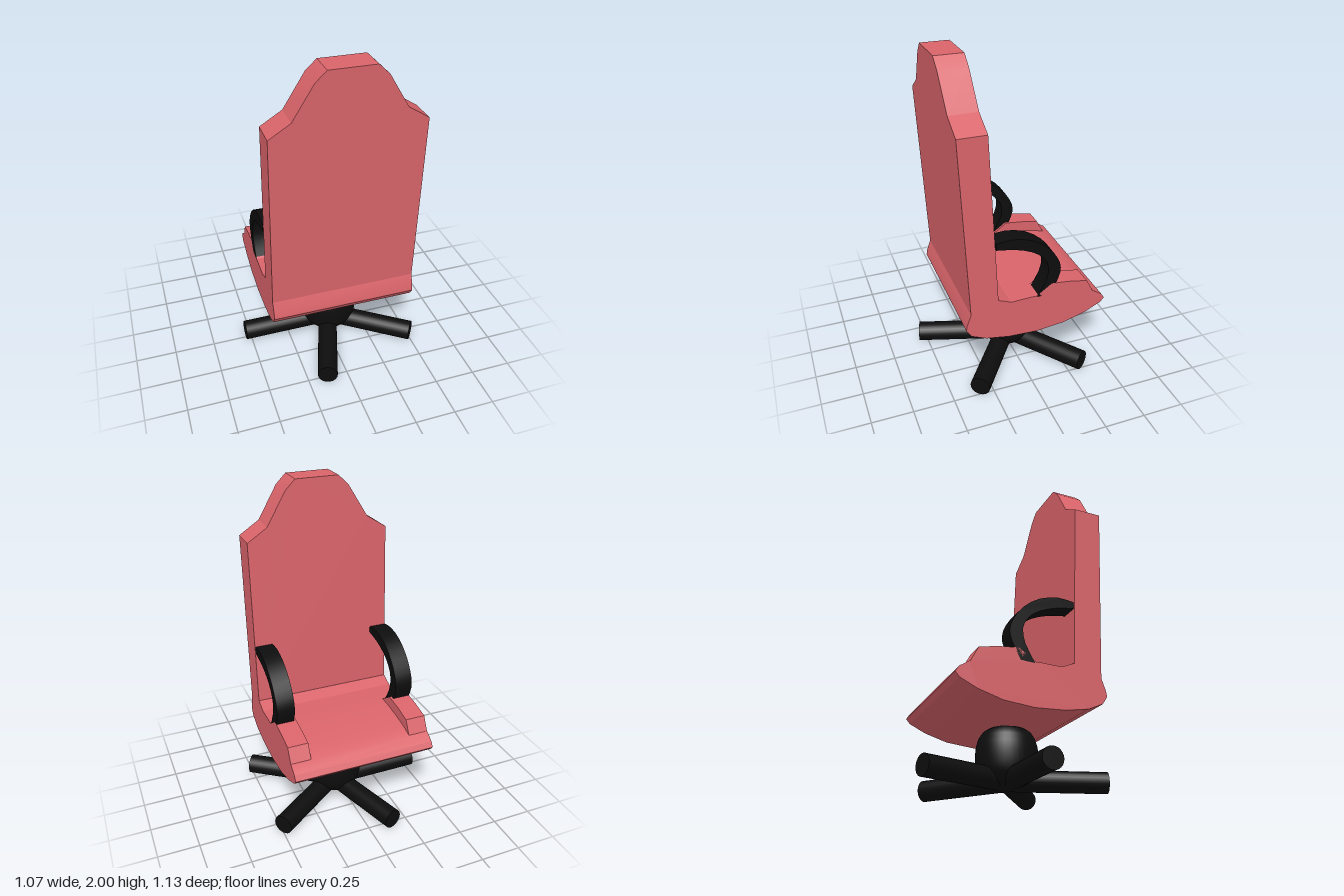
import * as THREE from 'three';
import { toCreasedNormals } from 'three/addons/utils/BufferGeometryUtils.js';

const MID = 0.0175;        // middle of the seat in x
const HALF = 0.4425;       // half width of the seat
const red = new THREE.MeshStandardMaterial({ color: 0xd9646a });
const black = new THREE.MeshStandardMaterial({ color: 0x0d0d0d });

const vecs = (pts) => pts.map(([a, b]) => new THREE.Vector2(a, b));

function add(group, name, geometry, material) {
  const mesh = new THREE.Mesh(geometry, material);
  mesh.name = name;
  group.add(mesh);
  return mesh;
}

// Extrudes a side profile of [z, y] points from x0 to x1
function sideExtrude(profile, x0, x1) {
  const shape = new THREE.Shape(vecs(profile.map(([z, y]) => [-z, y])));
  const geo = new THREE.ExtrudeGeometry(shape, { depth: x1 - x0, bevelEnabled: false });
  geo.rotateY(Math.PI / 2).translate(x0, 0, 0);
  return toCreasedNormals(geo, 0.35);
}

export function createModel() {
  const chair = new THREE.Group();
  chair.name = 'officeChair';

  // Seat cushion with a rounded underside
  add(chair, 'seat', sideExtrude([
    [0.37, 0.57], [0.395, 0.50], [0.40, 0.465], [0.37, 0.42], [0.28, 0.38], [0.14, 0.355],
    [-0.04, 0.346], [-0.22, 0.364], [-0.36, 0.405], [-0.46, 0.452], [-0.485, 0.48], [-0.465, 0.512],
    [-0.41, 0.548], [-0.34, 0.57], [-0.24, 0.588], [-0.12, 0.60], [0, 0.604], [0.125, 0.60],
    [0.202, 0.632],
  ], MID - HALF, MID + HALF), red);

  // Raised bolsters on both sides of the seat
  const bolster = [
    [-0.41, 0.54], [-0.36, 0.635], [-0.25, 0.657], [-0.13, 0.67], [-0.04, 0.607],
    [0, 0.59], [-0.2, 0.56],
  ];

  // Arm rest: a bent strip between an outer and an inner curve
  const outer = new THREE.SplineCurve(vecs([
    [0.215, 1.01], [0.12, 1.02], [0, 0.99], [-0.1, 0.92], [-0.16, 0.84], [-0.183, 0.77], [-0.17, 0.70], [-0.12, 0.60],
  ])).getPoints(14);
  const inner = new THREE.SplineCurve(vecs([
    [-0.035, 0.595], [-0.092, 0.70], [-0.105, 0.79], [-0.07, 0.86], [0, 0.913], [0.1, 0.95], [0.215, 0.97],
  ])).getPoints(12);
  const armProfile = [...outer, ...inner].map((p) => [p.x, p.y]);

  for (const [label, s] of [['left', 1], ['right', -1]]) {
    const span = (width) => [MID + s * HALF, MID + s * (HALF - width)].sort((a, b) => a - b);
    add(chair, label + 'SeatBolster', sideExtrude(bolster, ...span(0.125)), red);
    add(chair, label + 'ArmRest', sideExtrude(armProfile, ...span(0.11)), black);
  }

  // Tall backrest with a stepped crown, leaning away from the seat
  const half = [[HALF, 0.57], [HALF, 1.66], [0.3175, 1.74], [0.197, 1.94], [0.135, 2]];
  const outline = [...half, ...half.map(([x, y]) => [-x, y]).reverse()];
  const back = new THREE.ExtrudeGeometry(new THREE.Shape(vecs(outline)), { depth: 0.17, bevelEnabled: false });
  const pos = back.attributes.position;
  for (let i = 0; i < pos.count; i++) {
    pos.setZ(i, pos.getZ(i) + 0.2 + 0.05 * (pos.getY(i) - 0.57));
  }
  back.translate(MID, 0, 0);
  add(chair, 'backrest', toCreasedNormals(back, 0.3), red);

  // Five-star base: domed hub and round legs
  const base = new THREE.Group();
  base.name = 'base';
  base.position.x = 0.037;
  chair.add(base);
  add(base, 'hub', new THREE.LatheGeometry(vecs([
    [0, 0.003], [0.08, 0.01], [0.13, 0.04], [0.165, 0.085], [0.18, 0.13], [0.18, 0.2], [0.176, 0.25],
    [0.163, 0.295], [0.14, 0.33], [0.11, 0.35], [0, 0.352],
  ]), 40), black);
  for (let i = 0; i < 5; i++) {
    const a = Math.PI + (i * Math.PI * 2) / 5;
    const leg = new THREE.CylinderGeometry(0.061, 0.061, 0.573, 24);
    leg.rotateZ(-Math.PI / 2).translate(0.2865, 0.062, 0).rotateY(a);
    add(base, 'leg' + (i + 1), leg, black);
  }
  return chair;
}
